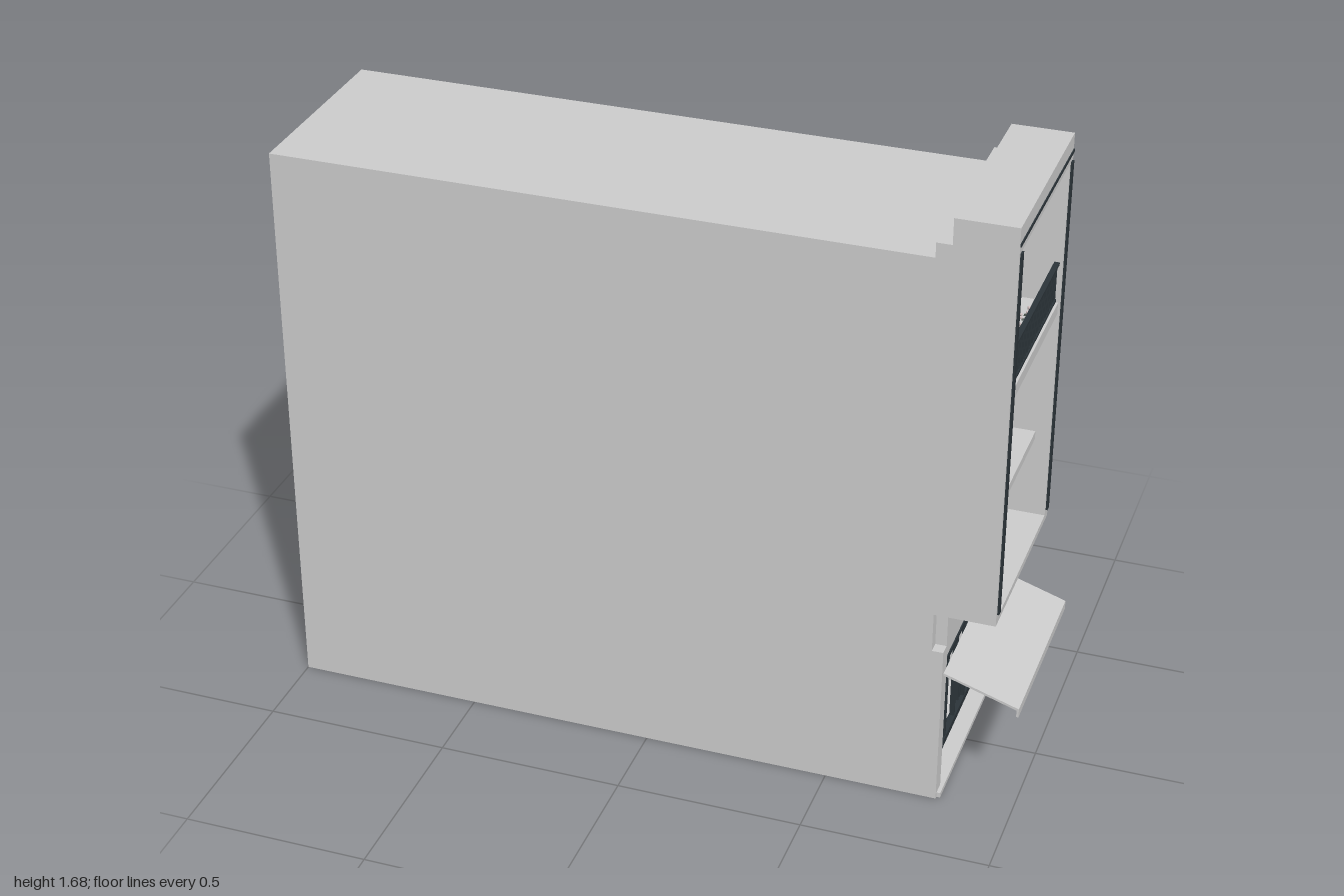
import * as THREE from 'three';

export function createModel() {
  const model = new THREE.Group();
  const mat = (name, color) => {
    const m = new THREE.MeshStandardMaterial({ color });
    m.name = name;
    return m;
  };
  const wall = mat('wall', 0xcccccc);
  const frame = mat('darkFrame', 0x2b3439);
  const panel = mat('slatePanel', 0x3a4750);
  const glass = mat('blueGlass', 0x66899b);
  const metal = mat('handleMetal', 0xa4adb2);
  const petal = mat('petal', 0xcdbcbc);
  const leaf = mat('leaf', 0x59625a);

  // box given by its limits on each axis
  const box = (name, m, x0, x1, y0, y1, z0, z1, parent = model) => {
    const mesh = new THREE.Mesh(new THREE.BoxGeometry(x1 - x0, y1 - y0, z1 - z0), m);
    mesh.position.set((x0 + x1) / 2, (y0 + y1) / 2, (z0 + z1) / 2);
    mesh.name = name;
    parent.add(mesh);
    return mesh;
  };
  // side profile in x and y, extruded along z
  const slab = (name, m, pts, z0, z1) => {
    const shape = new THREE.Shape(pts.map(p => new THREE.Vector2(p[0], p[1])));
    const geo = new THREE.ExtrudeGeometry(shape, { depth: z1 - z0, bevelEnabled: false });
    const mesh = new THREE.Mesh(geo, m);
    mesh.position.z = z0;
    mesh.name = name;
    model.add(mesh);
    return mesh;
  };
  const group = name => {
    const g = new THREE.Group();
    g.name = name;
    model.add(g);
    return g;
  };

  // building: core with ground-floor room and balcony recess, closed by two side walls
  const roof = [[0.93, 1.68], [0.77, 1.68], [0.77, 1.61], [0.73, 1.61], [0.73, 1.57], [-1, 1.57]];
  slab('core', wall, [[-1, 0], [0.8, 0], [0.8, 0.012], [0.3, 0.012], [0.3, 0.425], [0.8, 0.425],
    [0.8, 0.57], [0.93, 0.57], [0.93, 0.588], [0.8, 0.588], [0.8, 1.61], [0.93, 1.61], ...roof], -0.245, 0.245);
  const side = [[-1, 0], [0.8, 0], [0.8, 0.46], [0.77, 0.46], [0.77, 0.57], [0.93, 0.57], ...roof];
  slab('leftWall', wall, side, 0.245, 0.278);
  slab('rightWall', wall, side, -0.278, -0.245);
  box('doorStep', wall, 0.8, 0.81, 0, 0.014, -0.27, 0.27);

  for (const s of [-1, 1]) {
    const z = (a, b) => (s > 0 ? [a, b] : [-b, -a]);
    box('doorPier', wall, 0.7, 0.8, 0.012, 0.425, ...z(0.233, 0.246));
    box('facadeStrip', frame, 0.93, 0.935, 0.6, 1.61, ...z(0.253, 0.27));
  }
  box('corniceStrip', frame, 0.93, 0.933, 1.63, 1.638, -0.277, 0.277);

  // ledges between the floors, with dark shadow gaps below
  box('balconyFloor', wall, 0.8, 0.925, 1.19, 1.222, -0.245, 0.245);
  box('balconyMoulding', wall, 0.8, 0.87, 1.165, 1.19, -0.245, 0.245);
  box('upperBlind', frame, 0.8, 0.86, 1.15, 1.157, -0.245, 0.245);
  box('upperBand', wall, 0.8, 0.85, 1.157, 1.165, -0.245, 0.245);
  box('ledge', wall, 0.8, 0.89, 0.815, 0.838, -0.245, 0.245);
  box('ledgeMoulding', wall, 0.8, 0.865, 0.782, 0.815, -0.245, 0.245);
  box('lowerBlind', frame, 0.8, 0.86, 0.774, 0.782, -0.245, 0.245);
  box('ceilingBeam', wall, 0.8, 0.82, 1.575, 1.61, -0.245, 0.245);
  for (const z of [-0.15, 0, 0.15]) {
    const lamp = new THREE.Mesh(new THREE.CylinderGeometry(0.01, 0.01, 0.006, 12), frame);
    lamp.position.set(0.87, 1.607, z);
    lamp.name = 'ceilingLamp';
    model.add(lamp);
  }

  // three-part window with a glazed transom
  const makeWindow = (zc, y0, y1) => {
    const g = group('window');
    box('windowPanel', panel, 0.798, 0.804, y0, y1, zc - 0.102, zc + 0.102, g);
    for (const [a, b] of [[-0.093, -0.043], [-0.036, 0.03], [0.037, 0.09]])
      box('transomGlass', glass, 0.804, 0.808, y1 - 0.044, y1 - 0.007, zc + a, zc + b, g);
    box('transomRail', wall, 0.804, 0.81, y1 - 0.053, y1 - 0.048, zc - 0.095, zc + 0.095, g);
    for (const z of [-0.099, -0.04, 0.034, 0.099])
      box('mullion', frame, 0.804, 0.814, y0, y1, zc + z - 0.004, zc + z + 0.004, g);
    for (const y of [y0 + 0.004, y1 - 0.004])
      box('windowRail', frame, 0.804, 0.814, y - 0.004, y + 0.004, zc - 0.103, zc + 0.103, g);
    for (const z of [-0.058, 0.082])
      box('windowHandle', metal, 0.806, 0.814, y0 + 0.075, y0 + 0.11, zc + z - 0.0015, zc + z + 0.0015, g);
  };
  for (const z of [-0.124, 0.124]) {
    makeWindow(z, 0.918, 1.137);
    makeWindow(z, 0.588, 0.767);
    box('windowSill', frame, 0.8, 0.825, 0.916, 0.924, z - 0.106, z + 0.106);
  }

  // balcony doors
  box('balconyDoors', panel, 0.798, 0.805, 1.222, 1.535, -0.23, 0.23);
  for (const z of [-0.228, -0.115, 0, 0.115, 0.228])
    box('balconyDoorFrame', frame, 0.805, 0.809, 1.222, 1.535, z - 0.003, z + 0.003);
  box('balconyDoorHead', frame, 0.805, 0.812, 1.528, 1.536, -0.232, 0.232);
  for (const z of [-0.124, -0.102, 0.102, 0.124])
    box('balconyHandle', metal, 0.806, 0.814, 1.35, 1.385, z - 0.0015, z + 0.0015);

  // balcony railing
  const railing = group('railing');
  box('handRail', frame, 0.908, 0.922, 1.329, 1.336, -0.245, 0.245, railing);
  box('bottomRail', frame, 0.911, 0.919, 1.224, 1.232, -0.245, 0.245, railing);
  for (let i = 0; i <= 28; i++) {
    const z = -0.242 + i * 0.484 / 28;
    box('baluster', frame, 0.913, 0.917, 1.228, 1.332, z - 0.002, z + 0.002, railing);
  }

  // planters with loose flowers
  let seed = 7;
  const rand = () => (seed = (seed * 16807) % 2147483647) / 2147483647;
  const bloom = new THREE.IcosahedronGeometry(0.005, 0);
  const blade = new THREE.TetrahedronGeometry(0.006);
  const plant = (count, x0, x1, y0, y1, z0, z1) => {
    const g = group('flowers');
    for (let i = 0; i < count; i++) {
      const isBloom = i % 5 < 2;
      const m = new THREE.Mesh(isBloom ? bloom : blade, isBloom ? petal : leaf);
      m.position.set(x0 + rand() * (x1 - x0), y0 + rand() * (y1 - y0), z0 + rand() * (z1 - z0));
      m.rotation.set(rand() * 6, rand() * 6, rand() * 6);
      m.name = isBloom ? 'blossom' : 'leaf';
      g.add(m);
    }
  };
  box('windowPlanter', frame, 0.826, 0.866, 0.875, 0.915, 0.035, 0.217);
  plant(130, 0.825, 0.872, 0.915, 0.96, 0.025, 0.224);
  for (const z of [0.075, 0.12, 0.185]) plant(8, 0.867, 0.872, 0.86, 0.915, z - 0.006, z + 0.006);
  box('balconyPlanter', frame, 0.87, 0.905, 1.222, 1.265, -0.02, 0.23);
  plant(130, 0.87, 0.912, 1.265, 1.322, -0.025, 0.235);

  // shop front: glazing bars around an open room
  const shop = group('shopDoor');
  for (const [z, w] of [[0.23, 0.004], [0.044, 0.005], [-0.053, 0.002], [-0.155, 0.005], [-0.23, 0.004]])
    box('doorPost', frame, 0.748, 0.762, 0.012, z === -0.053 ? 0.3 : 0.425, z - w, z + w, shop);
  box('doorSill', frame, 0.746, 0.764, 0.012, 0.031, -0.233, 0.233, shop);
  box('doorTransom', frame, 0.746, 0.764, 0.292, 0.304, -0.233, 0.233, shop);
  box('doorHead', frame, 0.746, 0.764, 0.415, 0.425, -0.233, 0.233, shop);
  for (const z of [-0.045, -0.061])
    box('doorHandle', frame, 0.762, 0.772, 0.09, 0.17, z - 0.003, z + 0.003, shop);

  // sloping canopy with a short valance
  slab('canopy', wall, [[0.8, 0.38], [0.994, 0.317], [0.994, 0.297], [1, 0.297], [1, 0.322], [0.8, 0.387]],
    -0.262, 0.262);
  return model;
}
